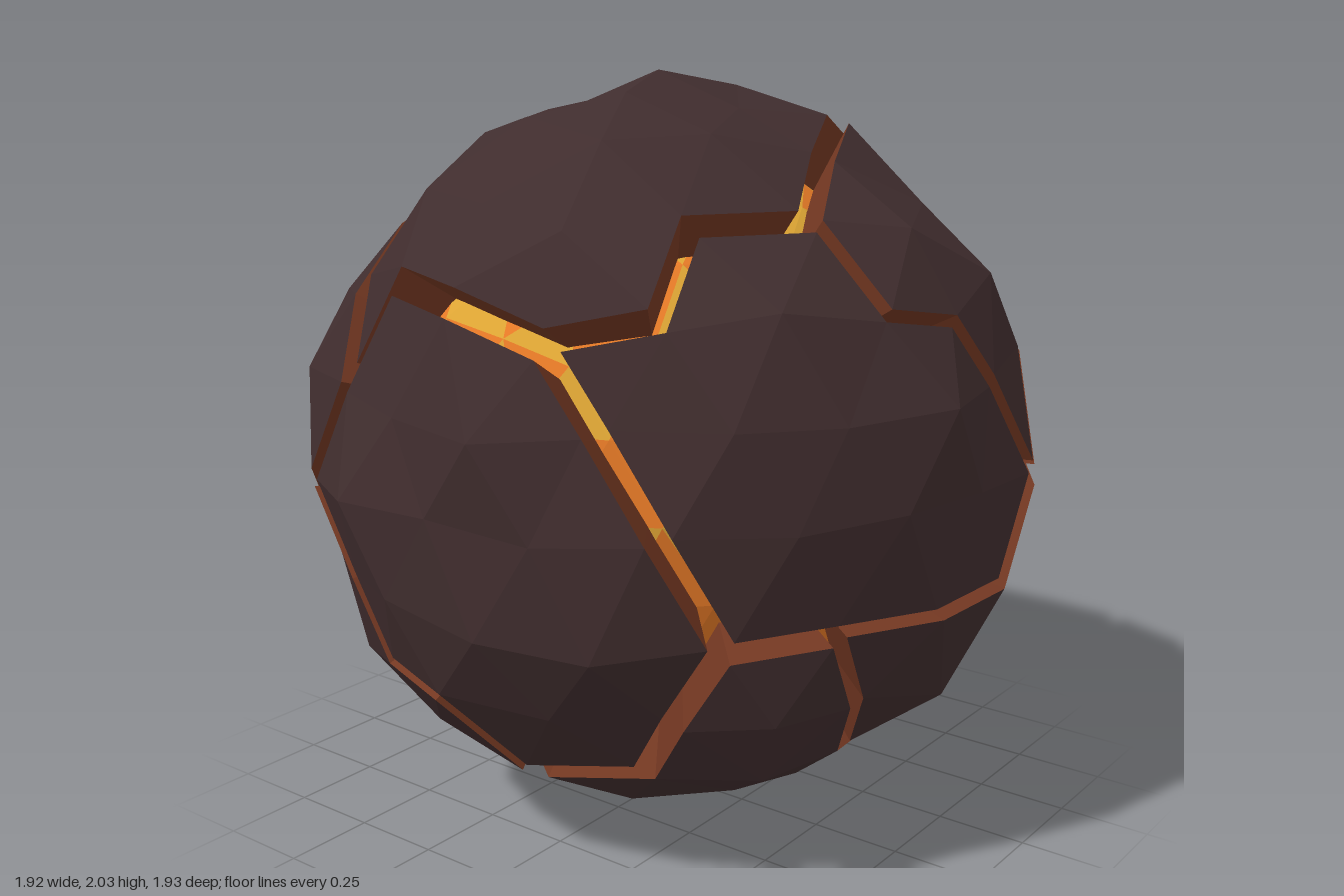
import * as THREE from 'three';

const rock = new THREE.MeshStandardMaterial({ name: 'darkRock', color: 0x402d2e });
const wall = new THREE.MeshStandardMaterial({ name: 'scorchedBrown', color: 0x743822 });
const orange = new THREE.MeshStandardMaterial({ name: 'lavaOrange', color: 0xea7c27 });
const yellow = new THREE.MeshStandardMaterial({ name: 'lavaYellow', color: 0xdea534 });

const V = (x = 0, y = 0, z = 0) => new THREE.Vector3(x, y, z);
const rad = THREE.MathUtils.degToRad;
// direction from longitude (0 is the front, 90 the left side) and latitude
const dir = (lon, lat) => V().setFromSphericalCoords(1, rad(90 - lat), rad(lon));

// a plate covers the facets around the spine between two directions, out to a reach in degrees
const plate = (name, lonA, latA, lonB, latB, reach) =>
  ({ name, spine: new THREE.Line3(dir(lonA, latA), dir(lonB, latB)), reach: rad(reach) });

const plates = [
  plate('topPlate', 0, 84, 3, 51, 33),
  plate('upperBackPlate', 199, 46, 196, 22, 25),
  plate('backLeftPlate', 141, 25, 142, 7, 23),
  plate('leftWedgePlate', 98, 48, 107, 22, 13),
  plate('frontLeftPlate', 47, 22, 84, 2, 22),
  plate('lowerLeftPlate', 82, -25, 118, -23, 15),
  plate('lowerBackPlate', 162, -17, 178, -35, 21),
  plate('bottomLeftPlate', 52, -51, 120, -68, 23),
  plate('frontPlate', -6, 7, 14, -18, 27),
  plate('frontRightPlate', -61, 24, -67, -12, 22),
  plate('lowerFrontPlate', -33, -15, -19, -43, 13),
  plate('bottomPlate', 200, -74, -70, -64, 27),
  plate('rightPlate', -104, 25, -114, -14, 21),
  plate('backRightPlate', 204, -9, 207, -20, 15)
];

// icosphere with its poles on y
function icosphere(radius) {
  const ring = (lat, turn) => [0, 1, 2, 3, 4].flatMap(i => dir(turn - i * 72, lat).toArray());
  const corners = [0, 1, 0, ...ring(26.57, 90), ...ring(-26.57, 54), 0, -1, 0];
  const faces = [];
  for (let i = 0; i < 5; i++) {
    const j = (i + 1) % 5;
    faces.push(0, 1 + j, 1 + i, 1 + i, 1 + j, 6 + i, 6 + i, 1 + j, 6 + j, 6 + i, 6 + j, 11);
  }
  return new THREE.PolyhedronGeometry(corners, faces, radius, 3).attributes.position;
}

function makeRandom(seed) {
  return () => (seed = (seed * 16807) % 2147483647) / 2147483647;
}

function flatMesh(name, points, material) {
  const geometry = new THREE.BufferGeometry().setFromPoints(points);
  geometry.computeVertexNormals();
  const mesh = new THREE.Mesh(geometry, material);
  mesh.name = name;
  return mesh;
}

// weld the sphere corners, roughen them, and list facets by corner index
function buildFacets() {
  const pos = icosphere(1);
  const random = makeRandom(4711), ids = new Map(), corners = [], facets = [];
  for (let i = 0; i < pos.count; i++) {
    const p = V().fromBufferAttribute(pos, i);
    const key = p.toArray().map(v => Math.round(v * 100) + 0).join();
    if (!ids.has(key)) {
      ids.set(key, corners.length);
      const jitter = V(random() - 0.5, random() - 0.5, random() - 0.5).multiplyScalar(0.05);
      corners.push(p.add(jitter).setLength(0.922 + (random() - 0.5) * 0.07));
    }
    if (i % 3 === 0) facets.push({ v: [] });
    facets[facets.length - 1].v.push(ids.get(key));
  }
  return { corners, facets };
}

function assignPlates(corners, facets) {
  const byEdge = new Map();
  for (const f of facets) {
    f.center = V();
    f.v.forEach((a, k) => {
      f.center.add(corners[a]);
      byEdge.set(a + '_' + f.v[(k + 1) % 3], f);
    });
    f.center.normalize();
    let best = Infinity;
    for (const p of plates) {
      const d = p.spine.closestPointToPoint(f.center, true, V()).angleTo(f.center) - p.reach;
      if (d < best) { best = d; f.plate = p; }
    }
  }
  for (const f of facets) f.near = f.v.map((a, k) => byEdge.get(f.v[(k + 1) % 3] + '_' + a));
  // remove single teeth along the cracks
  for (const f of facets) {
    const others = f.near.map(n => n.plate).filter(p => p !== f.plate);
    const twin = others.find((p, i) => others.indexOf(p) !== i);
    if (twin) f.plate = twin;
  }
}

export function createModel() {
  const model = new THREE.Group();
  model.name = 'crackedLavaRock';
  const { corners, facets } = buildFacets();
  assignPlates(corners, facets);

  // crust plates pushed outward, with walls down into the cracks
  for (const p of plates) {
    const own = facets.filter(f => f.plate === p);
    const push = own.reduce((sum, f) => sum.add(f.center), V()).setLength(0.062);
    const outer = i => corners[i].clone().add(push);
    const inner = i => corners[i].clone().multiplyScalar(0.77).add(push);
    const top = [], sides = [];
    for (const f of own) {
      top.push(...f.v.map(outer));
      f.v.forEach((a, k) => {
        const b = f.v[(k + 1) % 3];
        if (f.near[k].plate !== p) sides.push(outer(a), inner(a), inner(b), outer(a), inner(b), outer(b));
      });
    }
    const group = new THREE.Group();
    group.name = p.name;
    group.add(flatMesh('crust', top, rock), flatMesh('crackWall', sides, wall));
    model.add(group);
  }

  // glowing core of mixed orange and yellow facets
  const core = icosphere(0.8);
  const random = makeRandom(99), hot = [], warm = [];
  for (let i = 0; i < core.count; i += 3) {
    const list = random() < 0.5 ? hot : warm;
    for (let k = 0; k < 3; k++) list.push(V().fromBufferAttribute(core, i + k));
  }
  model.add(flatMesh('coreYellow', hot, yellow), flatMesh('coreOrange', warm, orange));

  // centre and stand on the ground
  const box = new THREE.Box3().setFromObject(model);
  const mid = box.getCenter(V());
  for (const part of model.children) part.position.set(-mid.x, -box.min.y, -mid.z);
  return model;
}
